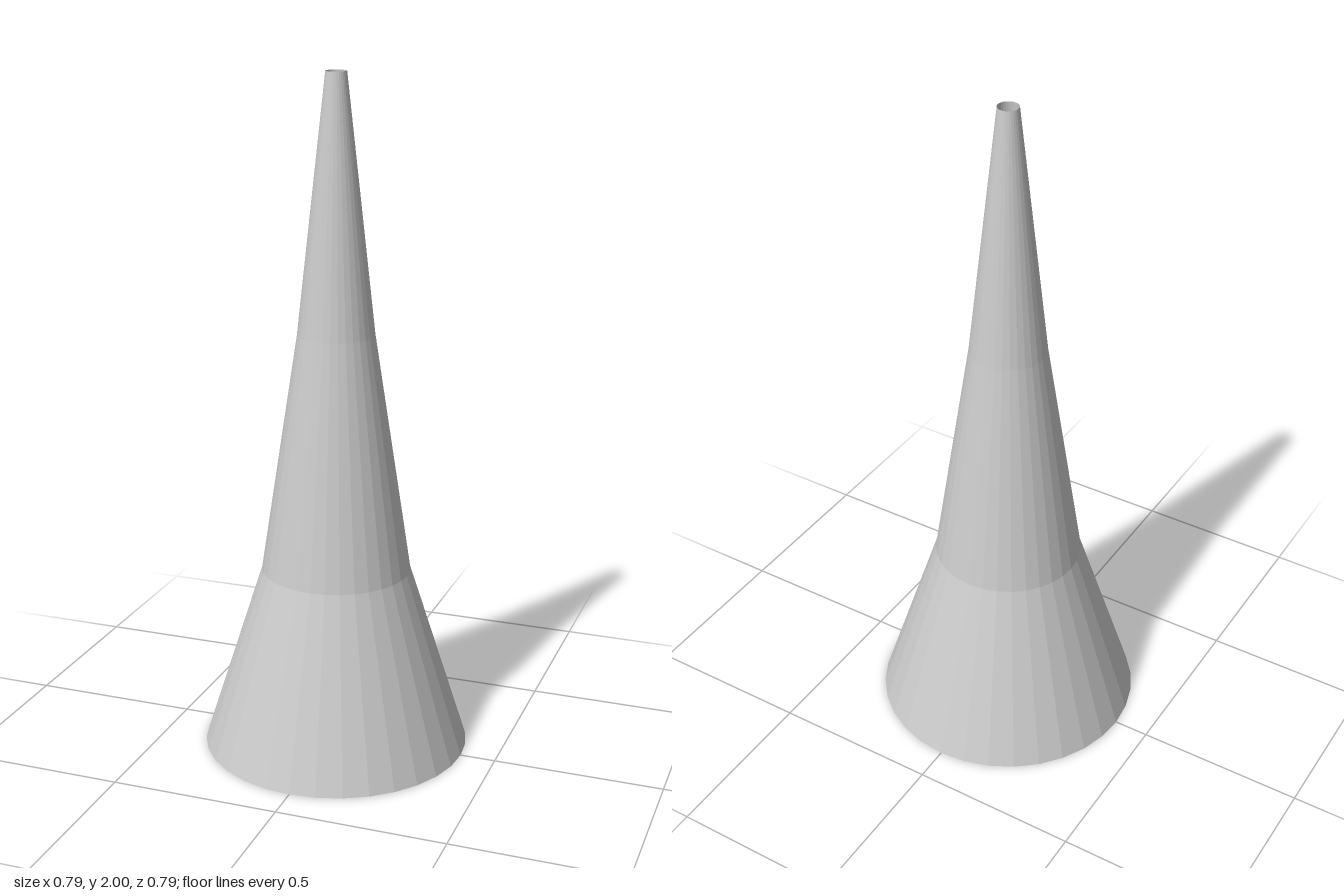
import * as THREE from 'three';

export function createModel() {
  const group = new THREE.Group();
  group.name = 'taperedCone';

  // Open, thin-walled shell: flared skirt, body and narrow tip
  const profile = [[0.395, 0], [0.22, 0.55], [0.112, 1.26], [0.03, 2]]
    .map(([r, y]) => new THREE.Vector2(r, y));
  const material = new THREE.MeshStandardMaterial({
    color: 0xcccccc, flatShading: true, side: THREE.DoubleSide,
  });
  const shell = new THREE.Mesh(new THREE.LatheGeometry(profile, 32, -Math.PI / 4), material);
  shell.name = 'coneShell';
  group.add(shell);

  return group;
}
